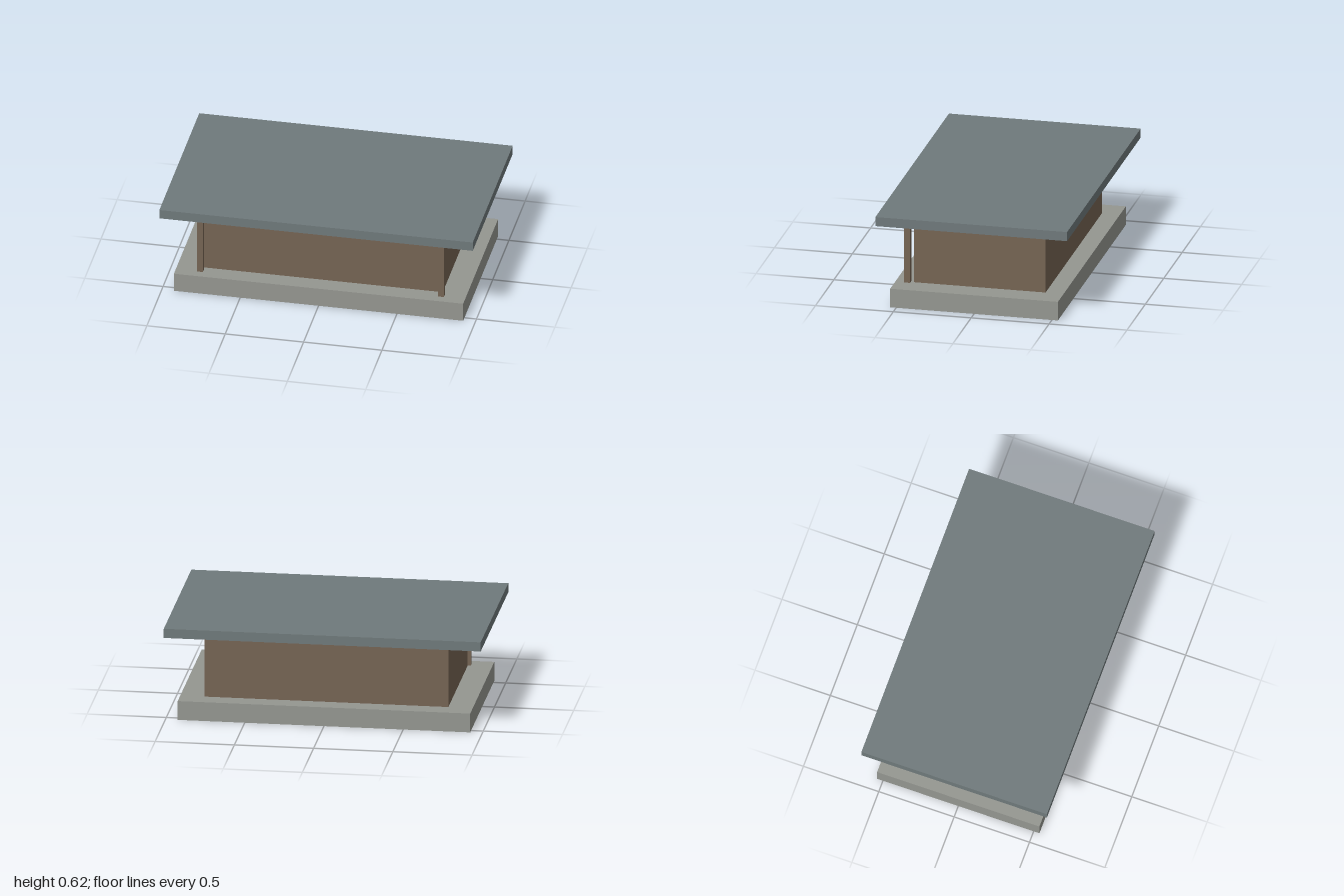
import * as THREE from 'three';

export function createModel() {
  const model = new THREE.Group();
  model.name = 'pavilion';

  const material = (name, color) => {
    const m = new THREE.MeshStandardMaterial({ color });
    m.name = name;
    return m;
  };
  const stone = material('stone', 0x949690);
  const timber = material('timber', 0x756453);
  const slate = material('slate', 0x6f797b);

  // Adds a box by its size, bottom height and centre
  const addBox = (name, mat, [w, h, d], bottom, x = 0, z = 0) => {
    const mesh = new THREE.Mesh(new THREE.BoxGeometry(w, h, d), mat);
    mesh.name = name;
    mesh.position.set(x, bottom + h / 2, z);
    model.add(mesh);
  };

  const baseTop = 0.123;
  const wallHeight = 0.435;

  // Plinth, building body and overhanging flat roof
  addBox('plinth', stone, [1.846, baseTop, 1.077], 0);
  addBox('walls', timber, [1.538, wallHeight, 0.846], baseTop);
  addBox('roof', slate, [2, 0.06, 1.231], baseTop + wallHeight);

  // Two slim posts standing clear of the front wall
  for (const [name, side] of [['leftPost', 1], ['rightPost', -1]]) {
    addBox(name, timber, [0.038, wallHeight, 0.038], baseTop, side * 0.769, 0.462);
  }

  return model;
}
